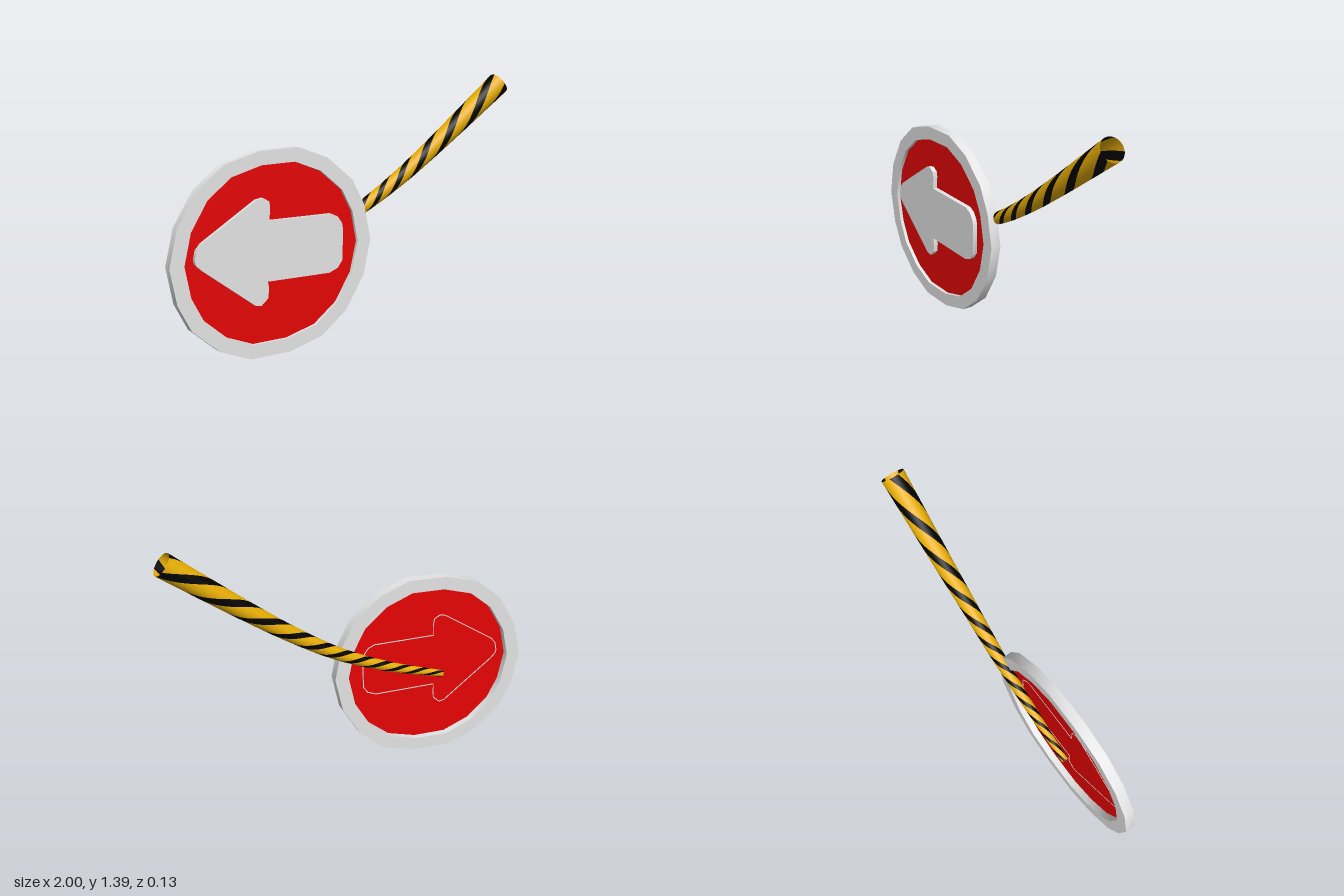
import * as THREE from 'three';
import { toCreasedNormals } from 'three/addons/utils/BufferGeometryUtils.js';

const mat = (name, color, side = THREE.FrontSide) =>
  Object.assign(new THREE.MeshStandardMaterial({ color, side }), { name });

// Disc outline: half of an 18-sided oval, the other half is point-symmetric
const half = [[-.552, -.027], [-.51, .16], [-.408, .333], [-.264, .453], [-.078, .512],
  [.136, .523], [.302, .462], [.444, .344], [.515, .21]];
const oval = [...half, ...half.map(([x, y]) => [-x, -y])];
const disc = (s) => oval.map(([x, y]) => new THREE.Vector2(-.447 + x * s, .525 + y * s));

// Arrow pointing to -x, with rounded corners
const arrow = [[-.873, .526], [-.863, .574], [-.836, .606], [-.547, .798], [-.51, .806],
  [-.478, .788], [-.473, .76], [-.478, .692], [-.131, .702], [-.093, .686], [-.067, .649],
  [-.061, .611], [-.067, .456], [-.093, .419], [-.142, .398], [-.489, .387], [-.483, .35],
  [-.489, .302], [-.526, .268], [-.558, .273], [-.841, .478], [-.868, .505],
].map((p) => new THREE.Vector2(...p));

// Clockwise outline moved inwards by a fixed distance
const inset = (points, dist) => points.map((p, i) => {
  const n = points.length;
  const d = points[(i + 1) % n].clone().sub(points[(i + n - 1) % n]).normalize();
  return new THREE.Vector2(p.x + d.y * dist, p.y - d.x * dist);
});

// Flat plate between two depths, with an optional hole wound the opposite way
function plate(name, material, outline, z0, z1, hole) {
  const shape = new THREE.Shape(outline);
  if (hole) shape.holes.push(new THREE.Path([...hole].reverse()));
  const geo = new THREE.ExtrudeGeometry(shape, { depth: z1 - z0, bevelEnabled: false });
  geo.translate(0, 0, z0);
  const mesh = new THREE.Mesh(toCreasedNormals(geo, .6), material);
  mesh.name = name;
  return mesh;
}

// Single double-sided sheet set back inside the rim
function sheet(name, material, outline, z) {
  const mesh = new THREE.Mesh(new THREE.ShapeGeometry(new THREE.Shape(outline)), material);
  mesh.position.z = z;
  mesh.name = name;
  return mesh;
}

// Tapered, bent, open pole whose faces twist along it so that strips form a three-start spiral
function pole(materials) {
  const curve = new THREE.CatmullRomCurve3([[-.51, .476, -.014], [-.2, .58, -.01], [.09, .712, -.005],
    [.33, .863, 0], [.55, 1.024, 0], [.964, 1.346, 0]].map((p) => new THREE.Vector3(...p)));
  const rings = 100, starts = 3, strips = 8, sides = starts * strips;
  const pos = [], faces = [[], []];

  // Stripe phase: spacing widens with the pole, zero at x = 0.78
  const phaseAt = (x) => {
    let sum = 0;
    const n = 60, step = (x - .78) / n;
    for (let k = 0; k < n; k++) sum += step / Math.max(.11, .085 + .155 * (.78 + (k + .5) * step));
    return sum;
  };

  for (let i = 0; i <= rings; i++) {
    const t = i / rings, c = curve.getPointAt(t), d = curve.getTangentAt(t);
    const up = new THREE.Vector3(-d.y, d.x, 0).normalize();
    const r = .018 + .044 * t;
    for (let j = 0; j < sides; j++) {
      const a = (phaseAt(c.x) / starts + (j - 1.5) / sides) * Math.PI * 2;
      const p = c.clone().addScaledVector(up, r * Math.sin(a));
      pos.push(p.x, p.y, p.z + r * Math.cos(a));
    }
  }
  for (let i = 0; i < rings; i++) {
    for (let j = 0; j < sides; j++) {
      const a = i * sides + j, b = i * sides + (j + 1) % sides, c = a + sides, d = b + sides;
      faces[j % strips < 3 ? 1 : 0].push(a, c, b, b, c, d);
    }
  }

  const geo = new THREE.BufferGeometry();
  geo.setAttribute('position', new THREE.Float32BufferAttribute(pos, 3));
  geo.setIndex([...faces[0], ...faces[1]]);
  geo.addGroup(0, faces[0].length, 0);
  geo.addGroup(faces[0].length, faces[1].length, 1);
  geo.computeVertexNormals();
  const mesh = new THREE.Mesh(geo, materials);
  mesh.name = 'stripedPole';
  return mesh;
}

export function createModel() {
  const grey = mat('light grey', 0xe4e4e4);
  const red = mat('sign red', 0xe60303, THREE.DoubleSide);
  const yellow = mat('stripe yellow', 0xf0b404, THREE.DoubleSide);
  const black = mat('stripe black', 0x020202, THREE.DoubleSide);

  const group = new THREE.Group();
  group.name = 'arrowSign';
  group.add(
    plate('rim', grey, disc(1), .005, .06, disc(.862)),
    sheet('redPanel', red, disc(.864), .041),
    plate('arrow', grey, arrow, .042, .067),
    plate('backArrowOutline', grey, arrow, .038, .04, inset(arrow, .005)),
    pole([yellow, black]),
  );
  return group;
}
